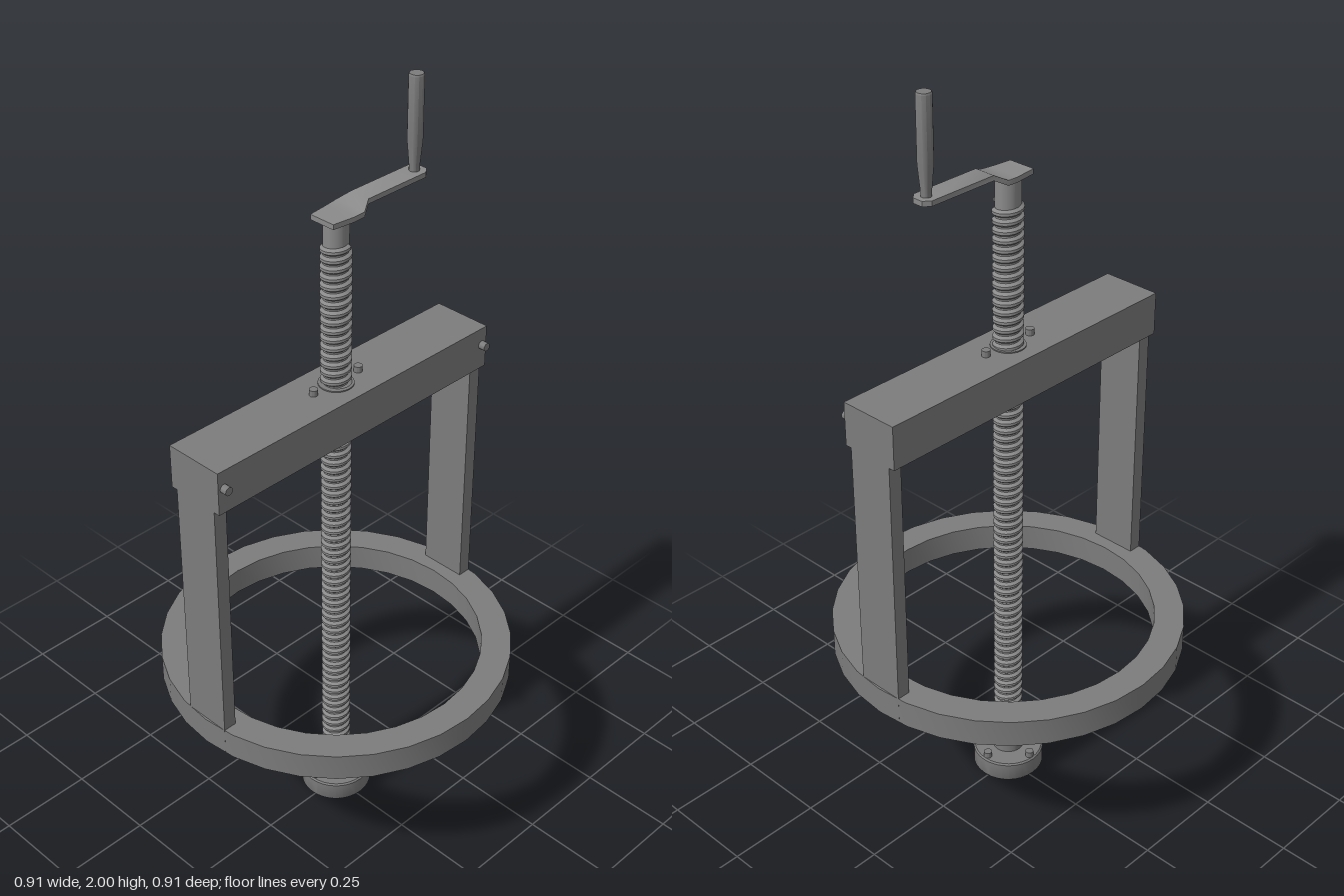
import * as THREE from 'three';
import { toCreasedNormals } from 'three/addons/utils/BufferGeometryUtils.js';

const frameMaterial = new THREE.MeshStandardMaterial({ color: 0x7c7c7c });
const steelMaterial = new THREE.MeshStandardMaterial({ color: 0x8a8a8a });

export function createModel() {
  const model = new THREE.Group();

  const add = (name, material, geometry, x = 0, y = 0, z = 0) => {
    const mesh = new THREE.Mesh(toCreasedNormals(geometry, 0.6), material);
    mesh.name = name;
    mesh.position.set(x, y, z);
    model.add(mesh);
    return mesh;
  };
  // turned part from [radius, height] pairs, bottom to top
  const turned = (name, material, points, sides, x = 0) =>
    add(name, material, new THREE.LatheGeometry(points.map(p => new THREE.Vector2(...p)), sides), x);
  const bolt = (name, length, x, y, z) =>
    add(name, frameMaterial, new THREE.CylinderGeometry(0.011, 0.011, length, 12), x, y, z);

  // base ring with a square section
  turned('baseRing', frameMaterial,
    [[0.38, 0.45], [0.457, 0.45], [0.457, 0.523], [0.38, 0.523], [0.38, 0.45]], 32);

  // uprights and the bolts that hold them
  for (const s of [-1, 1]) {
    add('upright', frameMaterial, new THREE.BoxGeometry(0.036, 0.83, 0.126), s * 0.433, 0.868, 0);
    bolt('sideBolt', 0.02, s * 0.434, 1.253, 0.088).rotation.x = Math.PI / 2;
    bolt('topBolt', 0.03, s * 0.075, 1.301, 0);
  }

  // crossbeam: a channel open underneath
  const channel = new THREE.Shape([
    [-0.08, 1.186], [-0.063, 1.186], [-0.063, 1.283], [0.063, 1.283],
    [0.063, 1.186], [0.08, 1.186], [0.08, 1.3], [-0.08, 1.3],
  ].map(p => new THREE.Vector2(...p)));
  const beam = new THREE.ExtrudeGeometry(channel, { depth: 0.902, bevelEnabled: false });
  beam.translate(0, 0, -0.451).rotateY(Math.PI / 2);
  add('crossbeam', frameMaterial, beam);
  turned('screwNut', frameMaterial, [[0, 1.2], [0.044, 1.2], [0.044, 1.303], [0, 1.303]], 24);

  // screw core with a helical thread
  turned('screwCore', steelMaterial, [[0, 0.06], [0.031, 0.06], [0.031, 1.735], [0, 1.735]], 20);
  add('screwThread', steelMaterial, threadGeometry(0.03, 0.038, 0.023, 0.12, 1.68, 20));

  // pressure foot, hollow underneath
  turned('foot', frameMaterial, [
    [0, 0.045], [0.055, 0.045], [0.055, 0.005], [0.06, 0], [0.078, 0], [0.082, 0.01],
    [0.09, 0.012], [0.094, 0.018], [0.094, 0.064], [0.09, 0.068],
    [0.041, 0.068], [0.041, 0.115], [0.035, 0.122], [0, 0.122],
  ], 32);
  for (let i = 0; i < 4; i++) {
    const a = i * Math.PI / 2;
    bolt('footBolt', 0.03, 0.079 * Math.cos(a), 0.069, 0.079 * Math.sin(a));
  }

  // cranked arm: box slices placed at [x, mid height, half width]
  const stations = [
    [-0.045, 1.739, 0.036], [0.015, 1.739, 0.043], [0.045, 1.741, 0.045],
    [0.075, 1.757, 0.028], [0.265, 1.757, 0.028], [0.282, 1.757, 0.014],
  ];
  const arm = new THREE.BoxGeometry(1, 1, 1, stations.length - 1, 1, 1);
  const pos = arm.attributes.position;
  for (let i = 0; i < pos.count; i++) {
    const [x, y, w] = stations[Math.round((pos.getX(i) + 0.5) * (stations.length - 1))];
    pos.setXYZ(i, x, y + pos.getY(i) * 0.013, pos.getZ(i) * 2 * w);
  }
  add('crankArm', steelMaterial, arm);
  turned('crankHandle', frameMaterial, [
    [0, 1.75], [0.013, 1.75], [0.013, 1.775], [0.019, 1.84],
    [0.019, 1.996], [0.017, 2], [0, 2],
  ], 12, 0.255);

  return model;
}

// helical ridge swept around the y axis
function threadGeometry(core, outer, pitch, y0, y1, sides) {
  const profile = [[core, 0], [outer, 0.3], [outer, 0.6], [core, 0.9]];
  const steps = Math.floor((y1 - y0 - pitch) / pitch * sides);
  const n = profile.length, points = [], index = [];
  for (let i = 0; i <= steps; i++) {
    const a = i / sides * Math.PI * 2;
    for (const [r, h] of profile) {
      points.push(r * Math.cos(a), y0 + (i / sides + h) * pitch, -r * Math.sin(a));
    }
    for (let j = 0; i < steps && j < n - 1; j++) {
      const p = i * n + j, q = p + n;
      index.push(p, q, p + 1, q, q + 1, p + 1);
    }
  }
  // end caps
  const e = steps * n;
  index.push(0, 1, 2, 0, 2, 3, e, e + 2, e + 1, e, e + 3, e + 2);
  const geometry = new THREE.BufferGeometry();
  geometry.setAttribute('position', new THREE.Float32BufferAttribute(points, 3));
  geometry.setIndex(index);
  return geometry;
}
